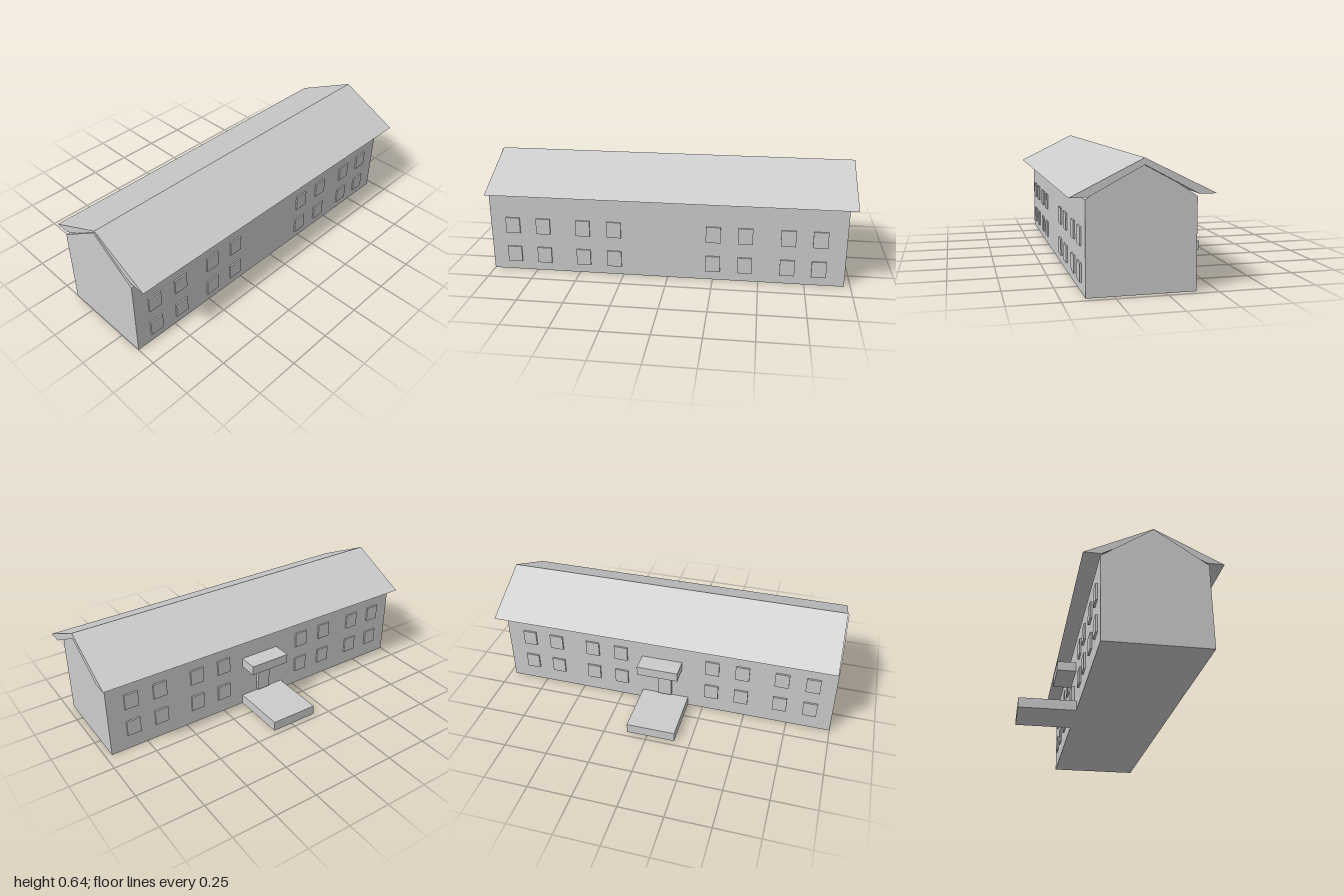
import * as THREE from 'three';

const material = new THREE.MeshStandardMaterial({ color: 0xcccccc, flatShading: true });

// Extrudes an (x, y) outline along z from z0 to z1
function prism(name, points, z0, z1) {
  const shape = new THREE.Shape(points.map(([x, y]) => new THREE.Vector2(x, y)));
  const geometry = new THREE.ExtrudeGeometry(shape, { depth: z1 - z0, bevelEnabled: false });
  geometry.translate(0, 0, z0);
  const mesh = new THREE.Mesh(geometry, material);
  mesh.name = name;
  return mesh;
}

// Box given by its limits on each axis
function block(name, [x0, x1], [y0, y1], [z0, z1]) {
  const mesh = new THREE.Mesh(new THREE.BoxGeometry(x1 - x0, y1 - y0, z1 - z0), material);
  mesh.position.set((x0 + x1) / 2, (y0 + y1) / 2, (z0 + z1) / 2);
  mesh.name = name;
  return mesh;
}

export function createModel() {
  const model = new THREE.Group();
  model.name = 'longHouse';
  const wallR = -0.147, wallL = 0.385, ridge = 0.118;

  // Gabled body
  model.add(prism('walls', [
    [wallR, 0], [wallL, 0], [wallL, 0.453], [ridge, 0.633], [wallR, 0.453],
  ], -0.965, 1));

  // Overhanging roof with flat-cut eaves, hollow beneath
  model.add(prism('roof', [
    [-0.229, 0.469], [-0.142, 0.469], [ridge, 0.608], [0.378, 0.469],
    [0.465, 0.469], [ridge, 0.64],
  ], -1, 0.993));

  // Two rows of windows on each long side
  const windows = new THREE.Group();
  windows.name = 'windows';
  const centres = [-0.825, -0.655, -0.425, -0.25, 0.3, 0.475, 0.7, 0.873];
  for (const z of centres) {
    const span = [z - 0.04, z + 0.04];
    for (const y of [0.05, 0.223]) {
      windows.add(block('leftWindow', [wallL - 0.01, 0.393], [y, y + 0.091], span));
    }
    for (const y of [0.091, 0.263]) {
      windows.add(block('rightWindow', [-0.157, wallR + 0.01], [y, y + 0.091], span));
    }
  }
  model.add(windows);

  // Entrance: platform, door and canopy
  model.add(block('entrancePlatform', [-0.468, wallR], [0, 0.057], [-0.12, 0.16]));
  model.add(block('door', [-0.165, wallR + 0.01], [0.067, 0.19], [-0.02, 0.06]));
  model.add(block('entranceCanopy', [-0.255, wallR], [0.257, 0.312], [-0.12, 0.12]));

  return model;
}
